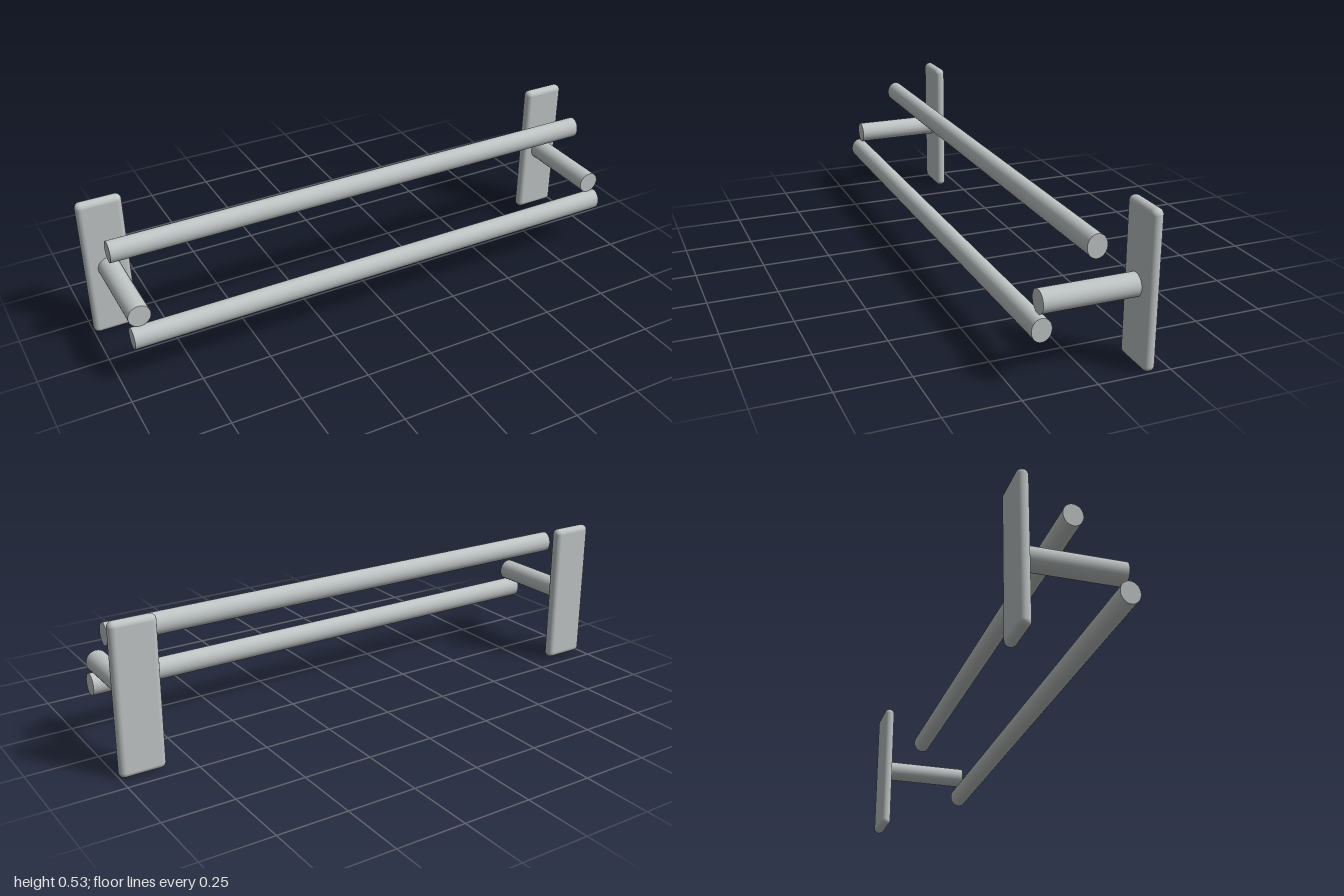
import * as THREE from 'three';
import { RoundedBoxGeometry } from 'three/addons/geometries/RoundedBoxGeometry.js';

export function createModel() {
  const model = new THREE.Group();
  model.name = 'towelRail';
  const steel = new THREE.MeshStandardMaterial({ color: 0xbfc4c4 });
  steel.name = 'brushedSteel';

  const add = (name, geometry, x, y, z) => {
    const mesh = new THREE.Mesh(geometry, steel);
    mesh.name = name;
    mesh.position.set(x, y, z);
    model.add(mesh);
  };

  // Wall plates with rounded rims, each carrying a round arm
  const plate = new RoundedBoxGeometry(0.161, 0.534, 0.041, 5, 0.02);
  const arm = new THREE.CylinderGeometry(0.0395, 0.0395, 0.33, 32).rotateX(Math.PI / 2);
  for (const [side, s] of [['left', 1], ['right', -1]]) {
    add(side + 'WallPlate', plate, s * 0.9195, 0.267, -0.1785);
    add(side + 'Arm', arm, s * 0.917, 0.2675, 0.002);
  }

  // Slightly oval rails
  const rail = new THREE.CylinderGeometry(0.0395, 0.0395, 1.9, 32)
    .rotateZ(Math.PI / 2)
    .scale(1, 1, 0.86);
  add('upperRail', rail, -0.001, 0.4275, -0.006);
  add('lowerRail', rail, -0.001, 0.1875, 0.167);

  return model;
}
